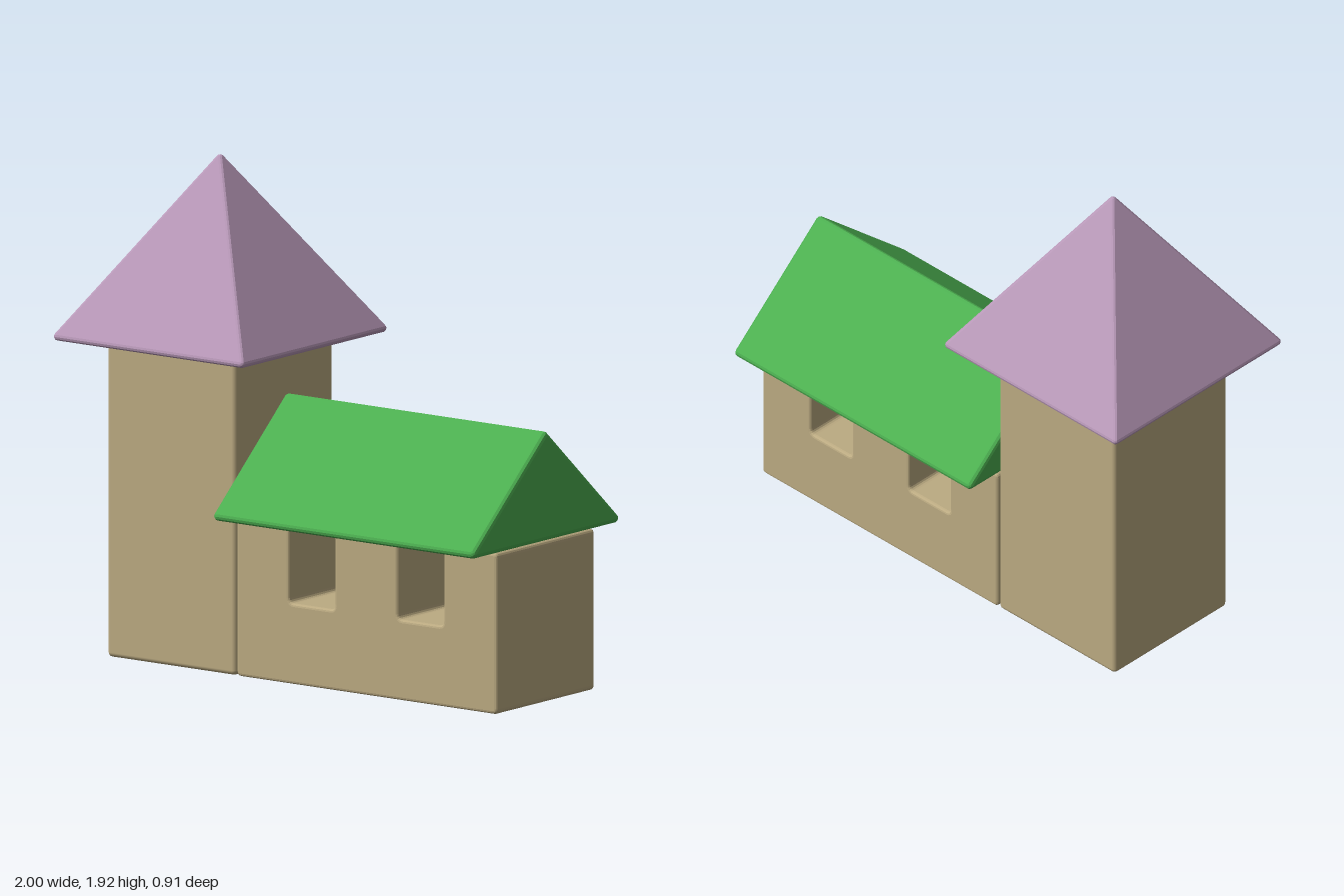
import * as THREE from 'three';
import { ConvexGeometry } from 'three/addons/geometries/ConvexGeometry.js';
import { RoundedBoxGeometry } from 'three/addons/geometries/RoundedBoxGeometry.js';

const stone = new THREE.MeshStandardMaterial({ color: 0xbcab82 });
const purple = new THREE.MeshStandardMaterial({ color: 0xb898b8 });
const green = new THREE.MeshStandardMaterial({ color: 0x4caf50 });

function part(name, geometry, material) {
  const mesh = new THREE.Mesh(geometry, material);
  mesh.name = name;
  return mesh;
}

// Convex solid with softened edges: the hull of a small ball at every corner
function softHull(corners, r) {
  const ball = new THREE.IcosahedronGeometry(r, 1).attributes.position;
  const seen = new Map();
  for (let i = 0; i < ball.count; i++) {
    const p = new THREE.Vector3().fromBufferAttribute(ball, i);
    seen.set(p.toArray().map((v) => Math.round(v * 1e5)).join(), p);
  }
  const points = [];
  for (const c of corners) {
    for (const p of seen.values()) points.push(p.clone().add(new THREE.Vector3(...c)));
  }
  return new ConvexGeometry(points);
}

// Closed outline with rounded corners
function roundedOutline(points, r) {
  const shape = new THREE.Shape();
  const v = points.map(([x, y]) => new THREE.Vector2(x, y));
  v.forEach((p, i) => {
    const toward = (q) => q.clone().sub(p).setLength(r).add(p);
    const a = toward(v[(i + v.length - 1) % v.length]);
    const b = toward(v[(i + 1) % v.length]);
    if (i === 0) shape.moveTo(a.x, a.y);
    else shape.lineTo(a.x, a.y);
    shape.quadraticCurveTo(p.x, p.y, b.x, b.y);
  });
  shape.closePath();
  return shape;
}

export function createModel() {
  const model = new THREE.Group();
  model.name = 'church';

  // Tower
  const tower = part('tower', new RoundedBoxGeometry(0.61, 1.22, 0.61, 3, 0.018), stone);
  tower.position.set(-0.55, 0.61, 0);
  model.add(tower);

  // Pyramid spire
  const r = 0.016, cx = -0.55, half = 0.452 - r;
  const spireCorners = [[cx, 1.92 - r, 0]];
  for (const sx of [-1, 1]) {
    for (const sz of [-1, 1]) spireCorners.push([cx + sx * half, 1.22 + r, sz * half]);
  }
  model.add(part('spire', softHull(spireCorners, r), purple));

  // Hall wall block with two notches that run right through
  const left = -0.24, right = 0.995, top = 0.62, sill = 0.31;
  const outline = [[left, 0], [right, 0], [right, top]];
  for (const [a, b] of [[0.525, 0.74], [0.01, 0.225]]) {
    outline.push([b, top], [b, sill], [a, sill], [a, top]);
  }
  outline.push([left, top]);
  const bevel = 0.012;
  const hall = new THREE.ExtrudeGeometry(roundedOutline(outline, 0.02), {
    depth: 0.61 - 2 * bevel, curveSegments: 4,
    bevelSize: bevel, bevelThickness: bevel, bevelOffset: -bevel, bevelSegments: 3,
  });
  hall.translate(0, 0, -0.305 + bevel);
  model.add(part('hall', hall, stone));

  // Gable roof
  const g = 0.018, roofCorners = [];
  for (const x of [left + g, 1 - g]) {
    roofCorners.push([x, 1.04 - g, 0], [x, 0.62 + g, 0.455 - g], [x, 0.62 + g, g - 0.455]);
  }
  model.add(part('gableRoof', softHull(roofCorners, g), green));

  return model;
}
